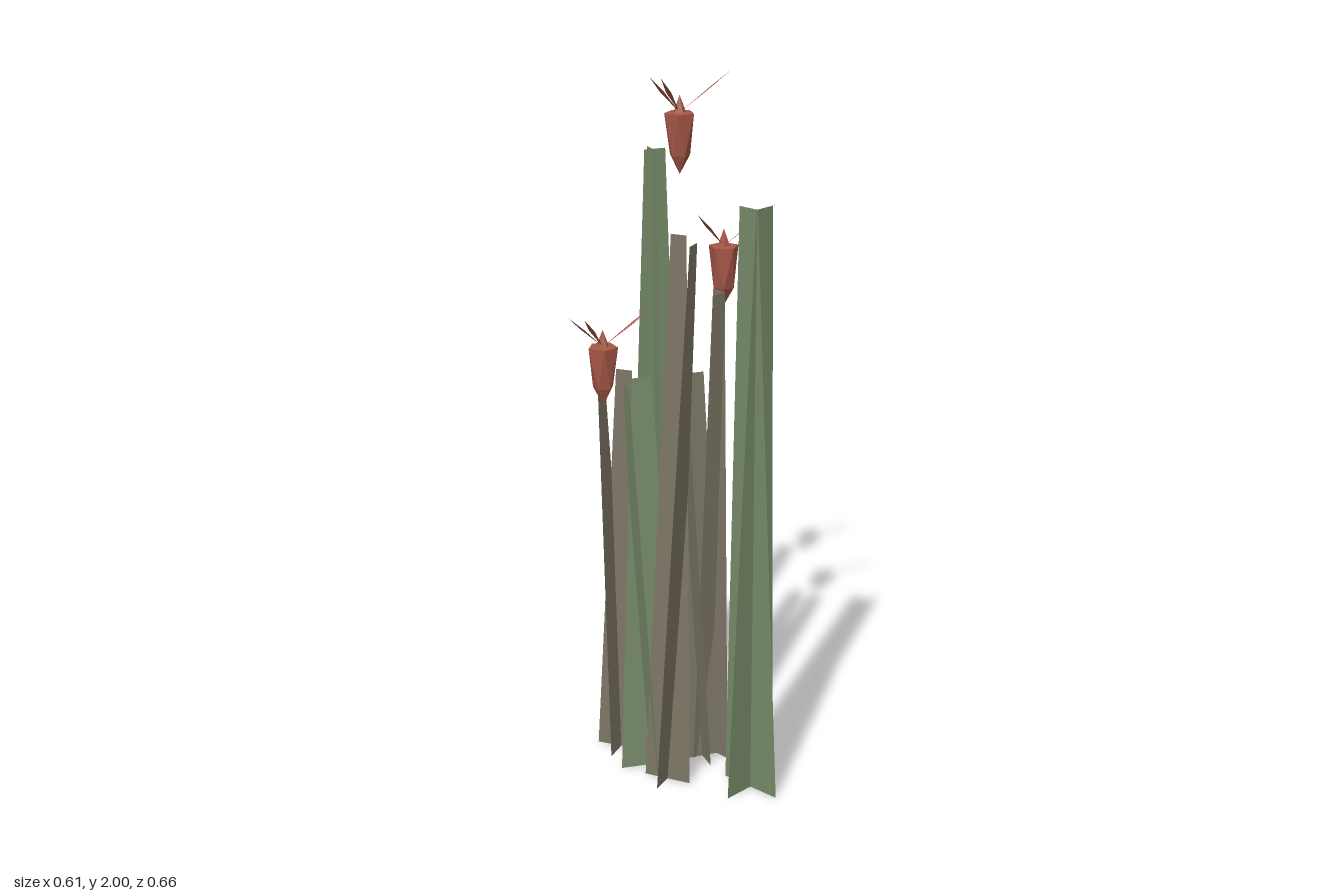
import * as THREE from 'three';

const material = (color) =>
  new THREE.MeshStandardMaterial({ color, flatShading: true, side: THREE.DoubleSide });
const green = material(0x778b69);
const tan = material(0x7b7565);
const red = material(0xa65747);

// Mesh from a few points and a list of triangles
function facets(name, points, index, mat) {
  const g = new THREE.BufferGeometry();
  g.setAttribute('position', new THREE.Float32BufferAttribute(points.flat(), 3));
  g.setIndex(index);
  const flat = g.toNonIndexed();
  flat.computeVertexNormals();
  const mesh = new THREE.Mesh(flat, mat);
  mesh.name = name;
  return mesh;
}

// Reed: two crossed tapering blades, each leaning along its own normal
function reed([cx, cz], [vx, vz], height, lean, mat) {
  const group = new THREE.Group();
  group.name = 'reed';
  const half = Math.hypot(vx, vz);
  const taper = 0.33;
  for (let i = 0; i < 2; i++) {
    const tx = cx - (vz / half) * lean;
    const tz = cz + (vx / half) * lean;
    group.add(facets('reedBlade', [
      [cx - vx, 0, cz - vz],
      [cx + vx, 0, cz + vz],
      [tx + vx * taper, height, tz + vz * taper],
      [tx - vx * taper, height, tz - vz * taper],
    ], [0, 1, 2, 0, 2, 3], mat));
    [vx, vz] = [-vz, vx];
  }
  return group;
}

// Bud: twisted faceted body with a point above and below
function bud(turn) {
  const n = 5;
  const points = [[0, -0.115, 0], [0, 0.11, 0]];
  const ring = (r, y, phase) => {
    for (let i = 0; i < n; i++) {
      const a = turn + ((i + phase) / n) * Math.PI * 2;
      points.push([r * Math.cos(a), y, r * Math.sin(a)]);
    }
  };
  ring(0.03, -0.06, 0);
  ring(0.044, 0.06, 0.5);
  ring(0.018, 0.062, 0);
  const index = [];
  for (let i = 0; i < n; i++) {
    const j = (i + 1) % n;
    const [a, b, c, d, e, f] = [2 + i, 2 + j, 2 + n + i, 2 + n + j, 2 + 2 * n + i, 2 + 2 * n + j];
    index.push(0, a, b, a, c, b, b, c, d);
    index.push(c, e, f, c, f, d, e, 1, f);
  }
  return facets('budBody', points, index, red);
}

// Slender leaf rising from the bud, widest past its middle
function sepal(dx, dz) {
  const len = Math.hypot(dx, dz);
  const [wx, wz] = [(-dz / len) * 0.008, (dx / len) * 0.008];
  const at = (t, s) => [dx * t + wx * s, 0.06 + 0.119 * t, dz * t + wz * s];
  return facets('budSepal',
    [at(0, 0), at(0.6, -1), at(1, 0), at(0.6, 1)], [0, 2, 1, 0, 3, 2], red);
}

export function createModel() {
  const model = new THREE.Group();
  model.name = 'reedClump';

  // Reeds: centre, half width vector, height, lean
  model.add(
    reed([0.067, 0.24], [0.0925, -0.03], 1.72, 0.03, green),
    reed([0.015, -0.235], [0.095, 0.01], 1.79, 0.007, green),
    reed([-0.121, -0.022], [0.018, -0.085], 1.18, -0.063, green),
    reed([-0.1185, 0.08], [0.042, 0.0575], 1.61, -0.082, tan),
    reed([0.04, 0.005], [-0.01, 0.068], 1.18, 0.057, tan),
    reed([0.078, -0.013], [0.018, 0.068], 1.42, -0.026, tan),
    reed([-0.143, -0.167], [0.057, -0.047], 1.17, -0.05, tan),
  );

  // Floating buds: position, then sepal tips in x, z
  const buds = [
    [[0.1, 1.821, -0.24], [[-0.027, -0.177], [-0.007, -0.15], [0.231, -0.178]]],
    [[0.167, 1.46, -0.105], [[0.301, -0.044], [0.046, -0.042]]],
    [[-0.17, 1.188, -0.2],
      [[-0.305, -0.144], [-0.276, -0.1], [-0.058, -0.11], [-0.037, -0.141]]],
  ];
  buds.forEach(([p, tips], i) => {
    const group = new THREE.Group();
    group.name = 'bud';
    group.position.set(...p);
    group.add(bud(0.3 + i * 0.5));
    for (const [x, z] of tips) group.add(sepal(x - p[0], z - p[2]));
    model.add(group);
  });
  return model;
}
